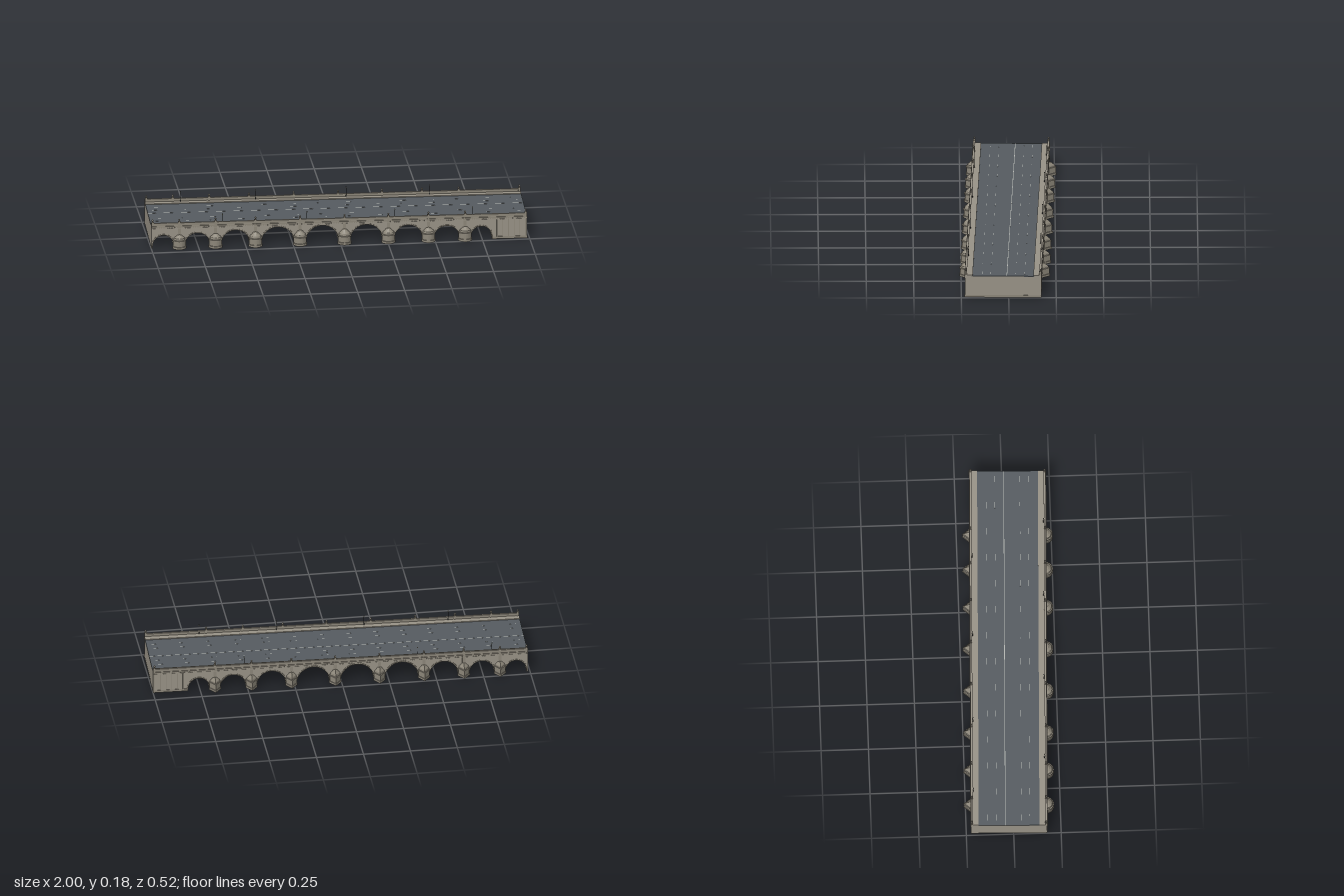
import * as THREE from 'three';
import { mergeGeometries, toCreasedNormals } from 'three/addons/utils/BufferGeometryUtils.js';

const mat = (color, extra = {}) => new THREE.MeshStandardMaterial({ color, ...extra });
const HALF = 0.994, W = 0.2, SPRING = 0.012;
const PIERS = [-0.846, -0.654, -0.443, -0.207, 0.028, 0.26, 0.472, 0.666];
const TOPS = [0.072, 0.08, 0.09, 0.1, 0.102, 0.1, 0.09, 0.08, 0.072];
const PIER_HALF = 0.029;

// Opening of each arch: centre, half span and crown height
const ARCHES = TOPS.map((top, i) => {
  const a = i === 0 ? -0.987 : PIERS[i - 1] + PIER_HALF;
  const b = i === 8 ? 0.808 : PIERS[i] - PIER_HALF;
  return { x: (a + b) / 2, r: (b - a) / 2, h: top - SPRING };
});

const box = (w, h, d, x, y, z) => new THREE.BoxGeometry(w, h, d).translate(x, y, z);

export function createModel() {
  const model = new THREE.Group();
  const bridge = new THREE.Group();
  bridge.name = 'bridge';
  bridge.rotation.y = -0.0275;
  bridge.position.z = 0.003;
  model.add(bridge);

  const stone = mat(0x989286);
  const trim = mat(0x8c8679);
  const flatStone = mat(0x8c8679, { side: THREE.DoubleSide });
  const asphalt = mat(0x555b60);
  const paint = mat(0xb4b6b2);
  const iron = mat(0x2b2d2e);
  const glass = mat(0xc9c4a8);

  const add = (name, geometry, material) => {
    const mesh = new THREE.Mesh(geometry, material);
    mesh.name = name;
    bridge.add(mesh);
    return mesh;
  };

  // Arched body
  const outline = new THREE.Shape();
  outline.moveTo(-HALF, 0.117);
  outline.lineTo(-HALF, 0);
  for (const { x, r, h } of ARCHES) {
    outline.lineTo(x - r, 0);
    outline.lineTo(x - r, SPRING);
    outline.absellipse(x, SPRING, r, h, Math.PI, 0, true);
    outline.lineTo(x + r, 0);
  }
  outline.lineTo(HALF, 0);
  outline.lineTo(HALF, 0.117);
  const body = new THREE.ExtrudeGeometry(outline, { depth: 2 * W, bevelEnabled: false, curveSegments: 28 });
  body.translate(0, 0, -W);
  add('archedBody', toCreasedNormals(body, 0.5), stone);

  // Raised arch rings on both faces
  const rings = [];
  for (const { x, r, h } of ARCHES) {
    const ring = new THREE.Shape();
    ring.absellipse(x, SPRING, r + 0.006, h + 0.006, Math.PI, 0, true);
    ring.lineTo(x + r, SPRING);
    ring.absellipse(x, SPRING, r, h, 0, Math.PI, false);
    for (const z of [W - 0.001, -W - 0.002]) {
      const g = new THREE.ExtrudeGeometry(ring, { depth: 0.003, bevelEnabled: false, curveSegments: 24 });
      rings.push(g.translate(0, 0, z));
    }
  }
  add('archRings', toCreasedNormals(mergeGeometries(rings), 0.5), trim);

  // Piers: rounded on the front, pointed on the back, with stepped caps
  const profile = (cap) => [
    [0, 0], [0.037, 0], [0.037, 0.012], [0.034, 0.013], [0.034, 0.04], [0.037, 0.041], [0.037, 0.046],
    [0.031, 0.048], [0.028, 0.048 + cap * 0.35], [0.019, 0.048 + cap * 0.6], [0.013, 0.048 + cap * 0.85], [0, 0.048 + cap],
  ].map(([x, y]) => new THREE.Vector2(x, y));
  PIERS.forEach((x, i) => {
    const cap = 0.018 + 0.25 * (Math.min(TOPS[i], TOPS[i + 1]) - 0.07) + 0.008;
    const round = new THREE.LatheGeometry(profile(cap), 18, -Math.PI / 2, Math.PI);
    add('roundPier', toCreasedNormals(round.translate(x, 0, W), 0.5), flatStone);
    const pointed = new THREE.LatheGeometry(profile(cap), 2, Math.PI / 2, Math.PI);
    pointed.scale(0.88, 1, 1.1).translate(x, 0, -W);
    add('pointedPier', toCreasedNormals(pointed, 0.3), flatStone);
  });

  // Roadway and lane markings
  add('roadway', box(2 * HALF, 0.003, 0.33, 0, 0.1185, 0), asphalt);
  const marks = [box(2 * HALF, 0.0006, 0.003, 0, 0.1202, -0.02)];
  for (const z of [-0.113, -0.067, 0.065, 0.11])
    for (let x = -0.95; x < 0.98; x += 0.146) marks.push(box(0.035, 0.0006, 0.002, x, 0.1202, z));
  add('laneMarkings', mergeGeometries(marks), paint);

  for (const s of [1, -1]) {
    // Pavement, parapet, coping and string course
    add('pavement', box(2 * HALF, 0.007, 0.04, 0, 0.1205, s * 0.18), stone);
    add('parapet', box(2 * HALF, 0.014, 0.008, 0, 0.13, s * 0.196), trim);
    add('coping', box(2 * HALF, 0.003, 0.011, 0, 0.1375, s * 0.196), stone);
    add('cornice', box(2 * HALF, 0.005, 0.008, 0, 0.1195, s * 0.2), trim);

    // Corbels under the cornice
    const corbels = [];
    for (let x = -HALF + 0.006; x < HALF; x += 0.012) corbels.push(box(0.005, 0.006, 0.004, x, 0.114, s * 0.201));
    add('corbels', mergeGeometries(corbels), trim);
    add('stringCourse', box(2 * HALF, 0.003, 0.005, 0, 0.109, s * 0.2), stone);

    // Pilasters above the piers and strips on the abutment
    const strips = PIERS.map((x) => box(0.016, 0.06, 0.005, x, 0.088, s * 0.2));
    for (let x = 0.835; x < 0.99; x += 0.03) strips.push(box(0.004, 0.106, 0.003, x, 0.054, s * 0.2));
    add('pilasters', mergeGeometries(strips), trim);

    // Pedestals with urns above each pier and at the ends
    const urn = [[0, 0], [0.003, 0], [0.002, 0.003], [0.005, 0.007], [0.0052, 0.01], [0.003, 0.013], [0, 0.014]]
      .map(([x, y]) => new THREE.Vector2(x, y));
    for (const x of [-0.987, ...PIERS, 0.987]) {
      add('pedestal', box(0.012, 0.026, 0.011, x, 0.133, s * 0.196), trim);
      add('urn', new THREE.LatheGeometry(urn, 10).translate(x, 0.146, s * 0.196), stone);
    }

    // Street lamps, staggered between the two sides
    for (const x of s > 0 ? [-0.617, -0.17, 0.295, 0.705] : [-0.805, -0.41, 0.07, 0.51]) {
      const z = s * 0.188;
      add('lampPost', mergeGeometries([
        new THREE.CylinderGeometry(0.001, 0.0014, 0.05, 8).translate(x, 0.148, z),
        new THREE.CylinderGeometry(0.002, 0.003, 0.01, 8).translate(x, 0.128, z),
        new THREE.ConeGeometry(0.003, 0.003, 8).translate(x, 0.179, z),
      ]), iron);
      add('lantern', new THREE.CylinderGeometry(0.003, 0.0016, 0.006, 8).translate(x, 0.175, z), glass);
    }
  }

  // Plinth of the abutment
  add('abutmentPlinth', box(HALF - 0.808, 0.013, 2 * W + 0.004, (HALF + 0.808) / 2 + 0.0005, 0.0065, 0), trim);
  return model;
}
